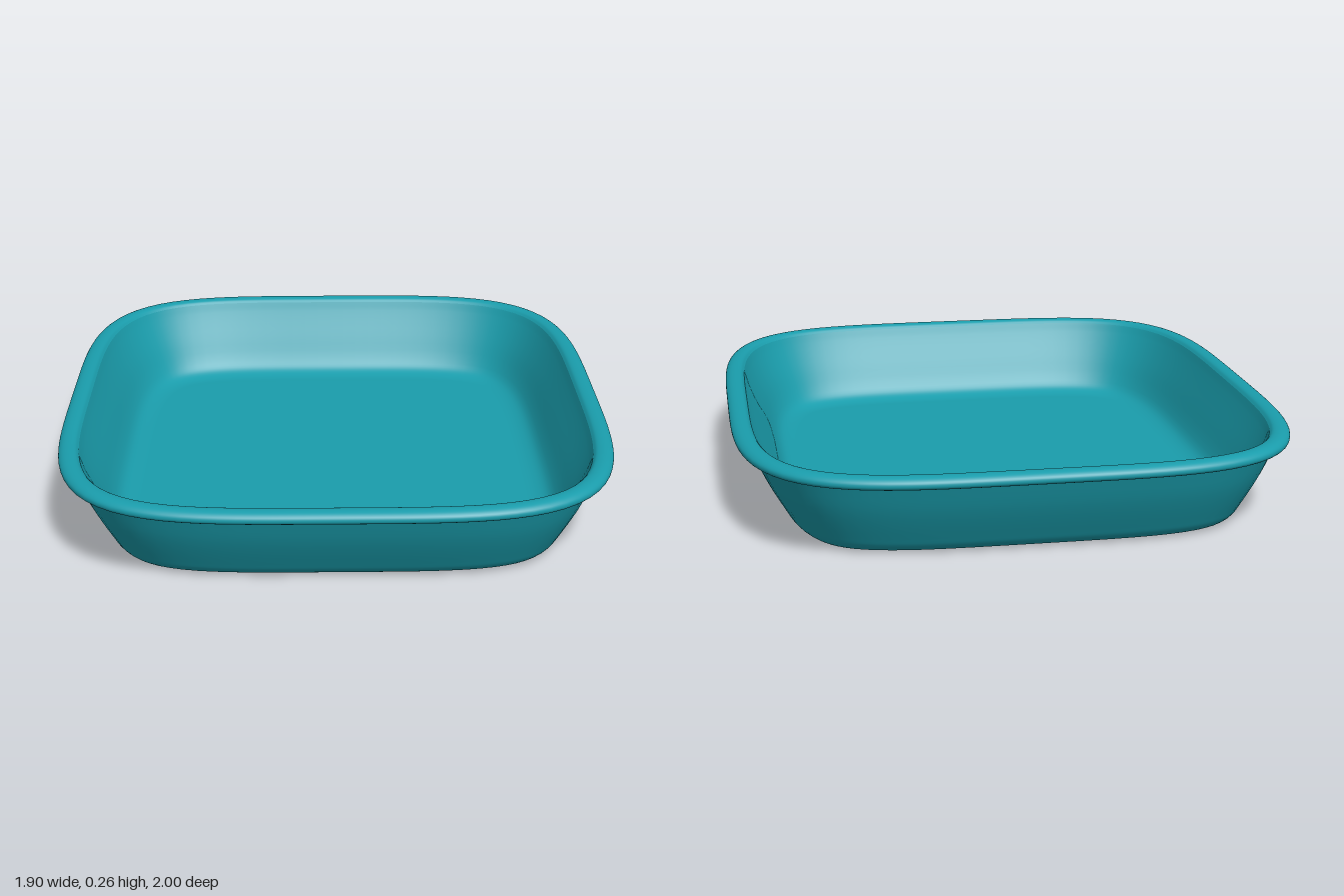
import * as THREE from 'three';

const HALF_W = 0.803, HALF_L = 0.9, POWER = 4;   // rounded-square outline
const SEGMENTS = 128, TURN = THREE.MathUtils.degToRad(25.5);

// Point on the outline at angle t, moved inward by d along the outline's normal
function outlinePoint(t, d) {
  const c = Math.cos(t), s = Math.sin(t);
  const r = (Math.abs(c / HALF_W) ** POWER + Math.abs(s / HALF_L) ** POWER) ** (-1 / POWER);
  const u = r * c, v = r * s;
  const n = new THREE.Vector2(u ** 3 / HALF_W ** 4, v ** 3 / HALF_L ** 4).normalize();
  return [u - n.x * d, v - n.y * d];
}

// Sweeps a profile of [inset, height] points round the outline.
// cap 'start' or 'end' closes that end with a flat disc of triangles.
function sweep(name, points, material, cap) {
  const curve = new THREE.CatmullRomCurve3(
    points.map(([d, y]) => new THREE.Vector3(d, y, 0)), false, 'centripetal');
  const rings = curve.getPoints((points.length - 1) * 4);
  const pos = [], index = [];
  for (const p of rings) {
    for (let i = 0; i < SEGMENTS; i++) {
      const [x, z] = outlinePoint(i / SEGMENTS * Math.PI * 2, p.x);
      pos.push(x, p.y, z);
    }
  }
  const last = rings.length - 1, centre = rings.length * SEGMENTS;
  if (cap) pos.push(0, rings[cap === 'start' ? 0 : last].y, 0);
  for (let i = 0; i < SEGMENTS; i++) {
    const k = (i + 1) % SEGMENTS;
    for (let j = 0; j < last; j++) {
      const a = j * SEGMENTS + i, b = j * SEGMENTS + k;
      index.push(a, a + SEGMENTS, b, b, a + SEGMENTS, b + SEGMENTS);
    }
    if (cap === 'start') index.push(centre, i, k);
    if (cap === 'end') index.push(last * SEGMENTS + i, centre, last * SEGMENTS + k);
  }
  const geometry = new THREE.BufferGeometry();
  geometry.setAttribute('position', new THREE.Float32BufferAttribute(pos, 3));
  geometry.setIndex(index);
  geometry.computeVertexNormals();
  const mesh = new THREE.Mesh(geometry, material);
  mesh.name = name;
  return mesh;
}

export function createModel() {
  const group = new THREE.Group();
  group.name = 'tray';
  const material = new THREE.MeshStandardMaterial({ color: 0x1a9dac });

  // Underside and sloping outer wall
  group.add(sweep('outerShell', [
    [0.24, 0], [0.19, 0], [0.165, 0.005], [0.143, 0.022], [0.125, 0.05],
    [0.075, 0.14], [0.038, 0.226],
  ], material, 'start'));

  // Rolled lip
  group.add(sweep('rim', [
    [0.038, 0.226], [0.012, 0.226], [0.001, 0.234], [0.001, 0.246],
    [0.012, 0.256], [0.03, 0.26], [0.048, 0.257], [0.058, 0.248],
  ], material));

  // Sloping inner wall and flat floor
  group.add(sweep('basin', [
    [0.058, 0.248], [0.07, 0.22], [0.11, 0.14], [0.152, 0.06],
    [0.175, 0.037], [0.21, 0.026], [0.26, 0.025],
  ], material, 'end'));

  group.rotation.y = -TURN;
  const model = new THREE.Group();
  model.name = 'bakingTray';
  model.add(group);
  return model;
}
